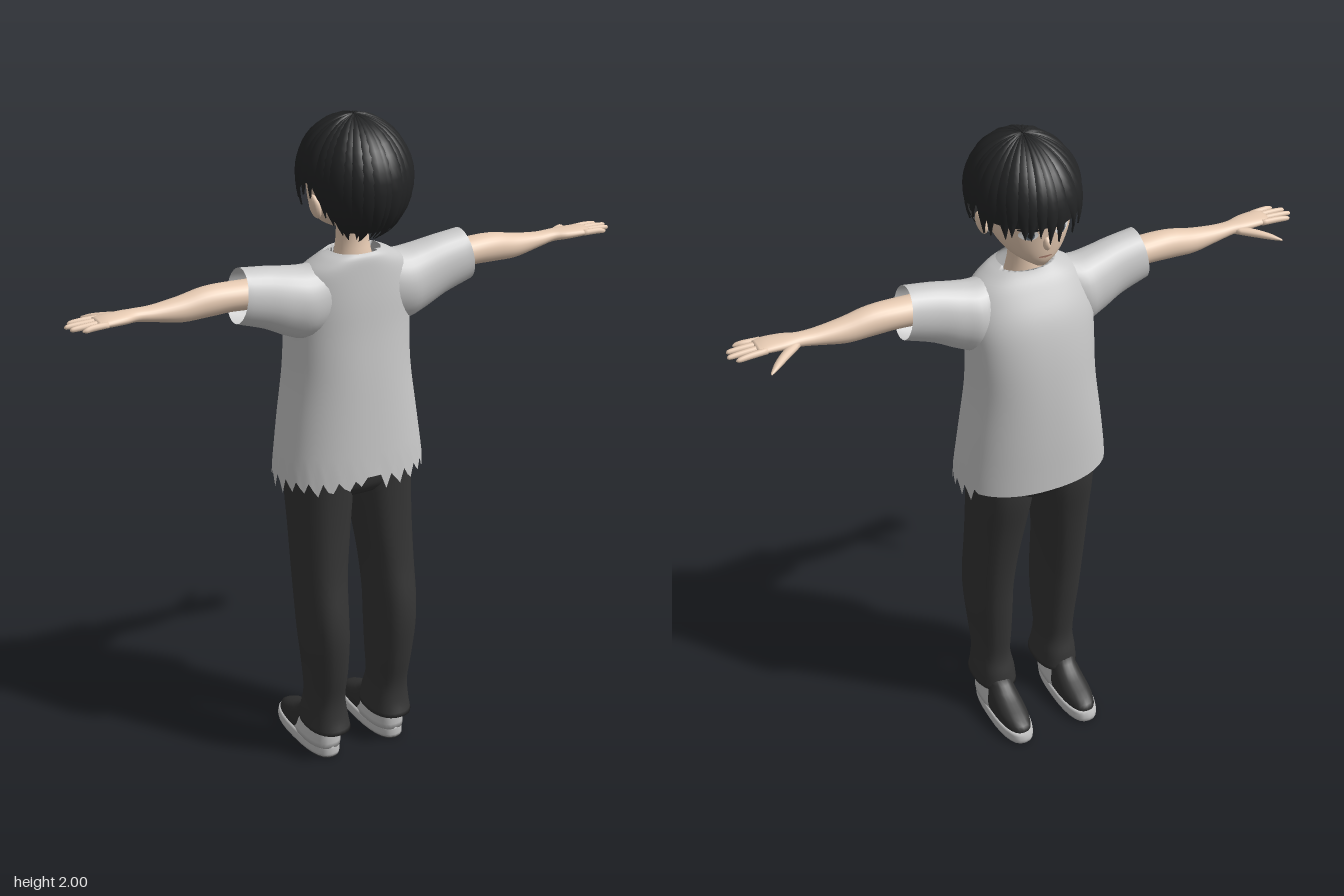
import * as THREE from 'three';

const mat = (name, color, double) => {
  const m = new THREE.MeshStandardMaterial({ color });
  m.name = name;
  if (double) m.side = THREE.DoubleSide;
  return m;
};

let seed = 7;
const rnd = () => (seed = (seed * 16807) % 2147483647) / 2147483647;
const spow = (v, e) => Math.sign(v) * Math.abs(v) ** e;

// Indexed surface from rows x cols of points; columns may wrap around
function gridGeometry(rows, wrap, caps) {
  const n = rows[0].length, pos = rows.flat(2), idx = [];
  for (let i = 0; i < rows.length - 1; i++)
    for (let j = 0; j < (wrap ? n : n - 1); j++) {
      const a = i * n + j, b = i * n + (j + 1) % n;
      idx.push(a, b, a + n, b, b + n, a + n);
    }
  if (caps) for (const end of [0, rows.length - 1]) {
    const c = pos.length / 3, ring = rows[end];
    pos.push(...[0, 1, 2].map(k => ring.reduce((s, p) => s + p[k], 0) / n));
    for (let j = 0; j < n; j++) {
      const a = end * n + j, b = end * n + (j + 1) % n;
      idx.push(c, ...(end ? [a, b] : [b, a]));
    }
  }
  const g = new THREE.BufferGeometry();
  g.setAttribute('position', new THREE.Float32BufferAttribute(pos, 3));
  g.setIndex(idx);
  g.computeVertexNormals();
  return g;
}

// Smooth loft. axis 'y': [y, centreX, radiusX, zFront, zBack]; axis 'x': [x, y, z, radiusY, radiusZ]
function loft(axis, sections, { seg = 28, sub = 4, power = 2, caps = true, tweak } = {}) {
  const curve = new THREE.CubicInterpolant(sections.map((_, i) => i), sections.flat(), 5);
  const rows = [], total = (sections.length - 1) * sub;
  for (let i = 0; i <= total; i++) {
    const [p, q, r, s, t] = Array.from(curve.evaluate(i / sub)), row = [];
    for (let j = 0; j < seg; j++) {
      const a = (j / seg) * Math.PI * 2;
      const c = spow(Math.cos(a), 2 / power), d = spow(Math.sin(a), 2 / power);
      const v = axis === 'y' ? [p, q + r * d, (s + t) / 2 + (t - s) / 2 * c].sort(() => 0) : [p, q + s * c, r + t * d];
      const pt = axis === 'y' ? [v[1], v[0], v[2]] : v;
      if (tweak) tweak(pt, i / total, j, a);
      row.push(pt);
    }
    rows.push(row);
  }
  return gridGeometry(rows, true, caps);
}

const headSections = [
  [1.655, 0, 0.018, -0.09, -0.05], [1.675, 0, 0.052, -0.102, 0.0], [1.7, 0, 0.082, -0.108, 0.05],
  [1.74, 0, 0.108, -0.113, 0.1], [1.78, 0, 0.12, -0.117, 0.14], [1.86, 0, 0.126, -0.122, 0.16],
  [1.93, 0, 0.1, -0.08, 0.14], [1.97, 0, 0.04, -0.02, 0.08]];

// Depth of the face at a given x, y
function faceZ(x, y) {
  const i = Math.max(0, headSections.findIndex(s => s[0] > y) - 1);
  const A = headSections[i], B = headSections[i + 1], t = (y - A[0]) / (B[0] - A[0]);
  const [, , rx, f, b] = A.map((v, k) => v + (B[k] - v) * t);
  return (f + b) / 2 - (b - f) / 2 * Math.sqrt(Math.max(0, 1 - (x / rx) ** 2));
}

// Thin painted ellipse that follows the face
function facePlate(x, y, w, h, lift) {
  const g = new THREE.CircleGeometry(1, 20).scale(w, h, 1).rotateY(Math.PI).translate(x, y, 0);
  const p = g.attributes.position;
  for (let i = 0; i < p.count; i++) p.setZ(i, faceZ(p.getX(i), p.getY(i)) - lift);
  g.computeVertexNormals();
  return g;
}

// Point on the hair volume; azimuth 0 is the back of the head
function hairPoint(az, t, scale) {
  const c = Math.cos(t), front = Math.sqrt(Math.max(0, -Math.cos(az)));
  let r = Math.sin(t);
  if (c < 0) r += (1 - 0.25 * c * c - r) * front;
  r *= scale;
  return [0.156 * r * Math.sin(az), 1.83 + (c > 0 ? 0.168 * scale : 0.19) * c, 0.033 + 0.183 * r * Math.cos(az)];
}

// Height at which the hair ends around the head
function hairEnd(az) {
  const c = Math.cos(az);
  if (c > 0.2) return 1.77 - 0.11 * Math.min(1, (c - 0.2) / 0.5);
  if (c > -0.25) return 1.79;
  return 1.765;
}
const angleFor = y => Math.acos(THREE.MathUtils.clamp((y - 1.83) / 0.19, -0.96, 0.96));

export function createModel() {
  seed = 7;
  const skin = mat('skin', 0xe6cab2), hair = mat('hair', 0x232425, true), cloth = mat('shirt grey', 0xc8c8c8, true);
  const trouser = mat('trouser charcoal', 0x343434), shoeDark = mat('shoe black', 0x303030);
  const shoeLight = mat('shoe light grey', 0xc2c2c2), outsole = mat('outsole grey', 0x5a5a5a);
  const eyeWhite = mat('eye white', 0xeeeeee), iris = mat('iris grey blue', 0x596570), lip = mat('lip', 0xb98a78);

  const model = new THREE.Group();
  const add = (name, geo, m, parent = model) => {
    const mesh = new THREE.Mesh(geo, m);
    mesh.name = name;
    parent.add(mesh);
    return mesh;
  };
  const half = new THREE.Group();
  half.name = 'sideParts';

  // Head, neck and face
  add('head', loft('y', headSections, { seg: 36 }), skin);
  add('neck', loft('y', [[1.55, 0, 0.07, -0.03, 0.08], [1.6, 0, 0.055, -0.025, 0.075],
    [1.65, 0, 0.047, -0.022, 0.068], [1.72, 0, 0.046, -0.02, 0.07]]), skin);
  add('nose', new THREE.SphereGeometry(1, 12, 8).scale(0.011, 0.02, 0.017).rotateX(0.3).translate(0, 1.737, -0.113), skin);
  add('mouth', facePlate(0, 1.694, 0.02, 0.0035, 0.003), lip);
  add('eyeWhite', facePlate(0.05, 1.77, 0.025, 0.016, 0.003), eyeWhite, half);
  add('iris', facePlate(0.049, 1.77, 0.013, 0.015, 0.005), iris, half);
  add('pupil', facePlate(0.049, 1.77, 0.006, 0.008, 0.007), hair, half);
  add('lashes', facePlate(0.051, 1.786, 0.028, 0.004, 0.007), hair, half);
  add('ear', new THREE.SphereGeometry(1, 14, 10).scale(0.014, 0.036, 0.024).rotateZ(-0.25).translate(0.124, 1.755, 0.035), skin, half);

  // Hair: inner cap and overlapping tapered locks
  const capRows = [];
  for (let i = 0; i <= 16; i++) capRows.push(Array.from({ length: 48 }, (_, j) => {
    const az = j / 48 * Math.PI * 2;
    return hairPoint(az, 0.02 + (angleFor(hairEnd(az) + 0.035) - 0.02) * (1 - i / 16), 0.96);
  }));
  add('hairCap', gridGeometry(capRows, true), hair);
  const locks = new THREE.Group();
  locks.name = 'hairLocks';
  model.add(locks);
  const count = 34;
  for (let n = 0; n < count; n++) {
    const az = (n + 0.4 * rnd()) / count * Math.PI * 2;
    const end = angleFor(hairEnd(az) + (rnd() - 0.6) * 0.035), width = 0.3 + 0.1 * rnd();
    const lift = 0.975 + 0.02 * rnd(), lean = (rnd() - 0.5) * 0.2, rows = [];
    for (let i = 0; i <= 14; i++) {
      const s = 1 - i / 14, w = width * (s < 0.6 ? 1 : Math.max(0.02, 1 - ((s - 0.6) / 0.4) ** 1.6));
      rows.push([-1, -0.5, 0, 0.5, 1].map(k =>
        hairPoint(az + k * w / 2 + lean * s * s, 0.03 + (end - 0.03) * s, lift + 0.03 * (1 - k * k))));
    }
    add('lock', gridGeometry(rows, false), hair, locks);
  }

  // Shirt body with torn hem and collar
  const teeth = Array.from({ length: 84 }, (_, j) => [0, 0.022, 0.042][j % 3] * (0.7 + 0.5 * rnd()));
  add('shirtBody', loft('y', [
    [0.95, 0, 0.233, -0.165, 0.155], [1.1, 0, 0.213, -0.165, 0.145], [1.25, 0, 0.193, -0.158, 0.135],
    [1.38, 0, 0.19, -0.142, 0.125], [1.48, 0, 0.19, -0.115, 0.12], [1.56, 0, 0.165, -0.07, 0.113],
    [1.6, 0, 0.115, -0.042, 0.108], [1.618, 0, 0.075, -0.032, 0.1]], {
    seg: 84, power: 2.2, caps: false, tweak: (p, u, j, a) => {
      if (u === 0) {
        if (Math.cos(a) < -0.45) p[1] -= 0.012;
        else if (p[2] > 0 && Math.abs(p[0]) < 0.04) p[1] += 0.005;
        else p[1] -= teeth[j];
      }
      if (u === 1 && Math.cos(a) < -0.3) p[1] -= 0.012 + (j % 3 === 0 ? 0.022 : 0);
    } }), cloth);
  add('sleeve', loft('x', [
    [0.07, 1.5, 0.035, 0.1, 0.06], [0.15, 1.48, 0.02, 0.106, 0.088], [0.21, 1.492, 0.022, 0.1, 0.08],
    [0.28, 1.516, 0.027, 0.088, 0.07], [0.365, 1.536, 0.03, 0.078, 0.065]], {
    caps: false, tweak: p => { p[0] -= (p[1] - 1.536) * 0.16 * (p[0] - 0.07) / 0.3; } }), cloth, half);

  // Arm, palm, fingers and thumb
  add('arm', loft('x', [
    [0.15, 1.52, 0.035, 0.05, 0.05], [0.36, 1.538, 0.032, 0.042, 0.046], [0.46, 1.538, 0.031, 0.043, 0.042],
    [0.54, 1.53, 0.03, 0.036, 0.037], [0.62, 1.533, 0.03, 0.023, 0.029], [0.67, 1.538, 0.03, 0.018, 0.026],
    [0.71, 1.54, 0.035, 0.017, 0.034], [0.76, 1.541, 0.039, 0.015, 0.037], [0.79, 1.541, 0.039, 0.01, 0.035]]), skin, half);
  [[0.01, 0.003, 0.855], [0.03, 0.027, 0.872], [0.05, 0.052, 0.866], [0.068, 0.076, 0.84]].forEach(([z0, z1, tip]) =>
    add('finger', loft('x', [[0.765, 1.541, z0, 0.009, 0.01], [0.81, 1.541, (z0 + z1) / 2, 0.009, 0.0095],
      [tip - 0.01, 1.539, z1, 0.007, 0.007], [tip, 1.538, z1, 0.002, 0.002]], { seg: 10 }), skin, half));
  add('thumb', loft('x', [[0.675, 1.535, 0.018, 0.011, 0.016], [0.72, 1.53, -0.012, 0.012, 0.018],
    [0.76, 1.525, -0.046, 0.009, 0.014], [0.785, 1.52, -0.07, 0.003, 0.005]], { seg: 12 }), skin, half);

  // Trousers
  add('hips', loft('y', [[0.875, 0, 0.12, -0.1, 0.09], [0.91, 0, 0.182, -0.13, 0.112],
    [0.97, 0, 0.187, -0.135, 0.118], [1.05, 0, 0.17, -0.13, 0.11]], { power: 2.4 }), trouser);
  add('trouserLeg', loft('y', [
    [0.1, 0.107, 0.067, -0.055, 0.143], [0.15, 0.108, 0.062, -0.047, 0.128], [0.21, 0.11, 0.055, -0.032, 0.125],
    [0.3, 0.111, 0.06, -0.04, 0.142], [0.41, 0.115, 0.066, -0.053, 0.155], [0.5, 0.117, 0.068, -0.063, 0.152],
    [0.62, 0.114, 0.073, -0.08, 0.132], [0.75, 0.106, 0.082, -0.102, 0.12], [0.88, 0.099, 0.091, -0.126, 0.115],
    [0.98, 0.096, 0.09, -0.13, 0.115]], { power: 2.3 }), trouser, half);

  // Shoe: outsole, light rim, dark upper and light heel panel
  const shoe = new THREE.Group();
  shoe.name = 'shoe';
  half.add(shoe);
  const shoeLoft = (name, s, m) => add(name, loft('y', s, { power: 2.5, sub: 2 }), m, shoe);
  shoeLoft('outsole', [[0, 0.112, 0.05, -0.2, 0.1], [0.008, 0.112, 0.053, -0.21, 0.103]], outsole);
  shoeLoft('soleRim', [[0.006, 0.112, 0.055, -0.212, 0.104], [0.022, 0.112, 0.056, -0.215, 0.105],
    [0.042, 0.112, 0.053, -0.208, 0.104]], shoeLight);
  shoeLoft('shoeUpper', [[0.035, 0.112, 0.051, -0.205, 0.098], [0.06, 0.112, 0.05, -0.195, 0.098],
    [0.08, 0.112, 0.046, -0.15, 0.096], [0.105, 0.112, 0.042, -0.085, 0.094], [0.14, 0.112, 0.038, -0.045, 0.085]], shoeDark);
  shoeLoft('heelPanel', [[0.035, 0.112, 0.054, -0.13, 0.104], [0.07, 0.112, 0.052, -0.085, 0.104],
    [0.11, 0.112, 0.046, -0.055, 0.1], [0.13, 0.112, 0.042, -0.045, 0.095]], shoeLight);

  // Mirror every side part
  const other = half.clone();
  other.name = 'mirroredSideParts';
  other.scale.x = -1;
  model.add(half, other);
  return model;
}
